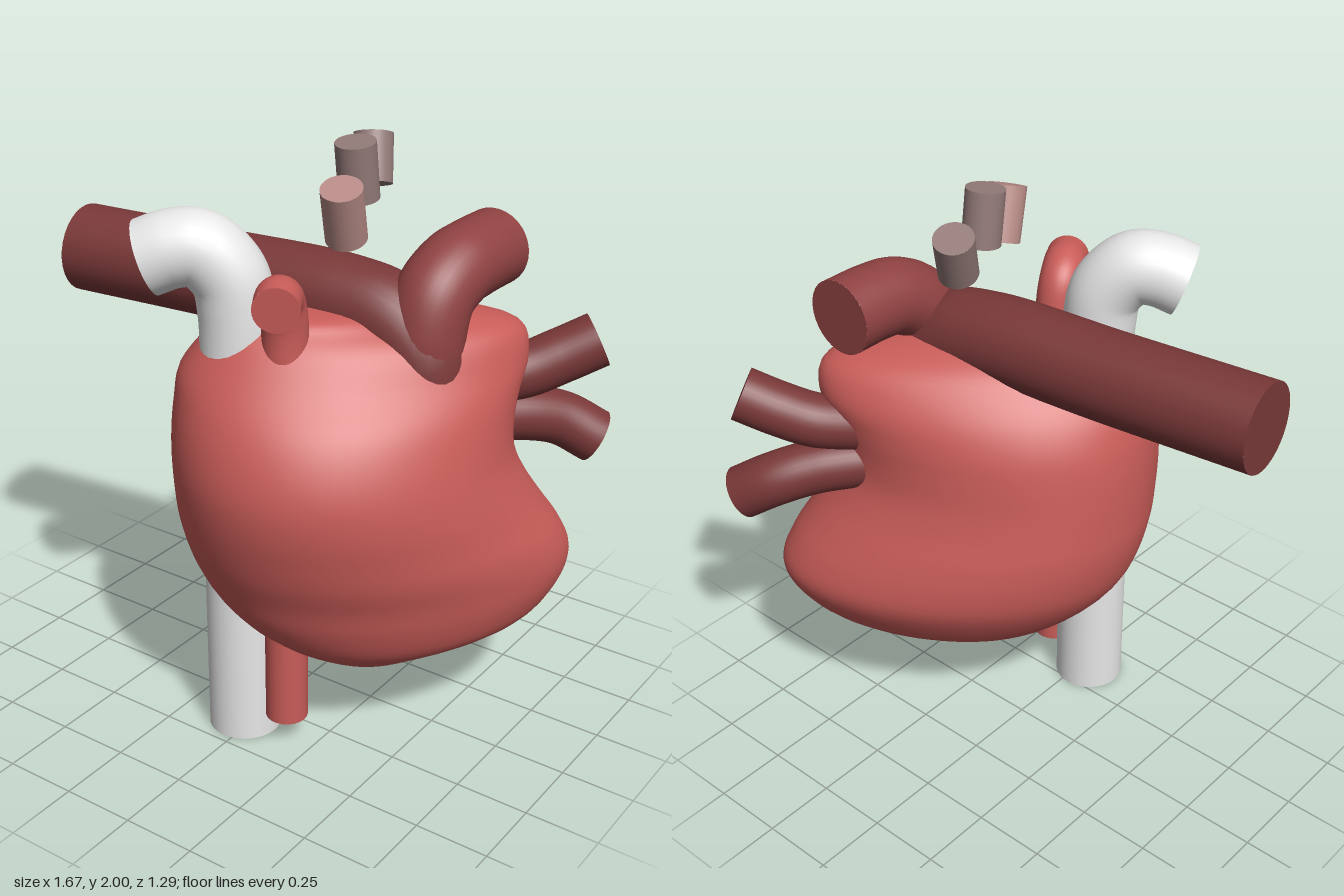
import * as THREE from 'three';
import { mergeGeometries } from 'three/addons/utils/BufferGeometryUtils.js';

const paint = (name, color) => {
  const m = new THREE.MeshStandardMaterial({ color });
  m.name = name;
  return m;
};

// Heart muscle: horizontal rings, long axis turned 45 degrees, slightly egg-shaped
function heartGeometry() {
  // y, centre x, centre z, long half-axis, short half-axis
  const rings = [
    [0.253, 0.29, 0.07, 0.001, 0.001], [0.275, 0.295, 0.06, 0.16, 0.14], [0.33, 0.305, 0.045, 0.31, 0.23],
    [0.40, 0.33, 0.005, 0.475, 0.31], [0.50, 0.316, -0.005, 0.575, 0.37], [0.60, 0.296, -0.005, 0.622, 0.41],
    [0.70, 0.273, 0.028, 0.62, 0.435], [0.80, 0.247, 0.068, 0.597, 0.443], [0.90, 0.23, 0.105, 0.57, 0.442],
    [1.00, 0.216, 0.127, 0.55, 0.433], [1.10, 0.21, 0.122, 0.546, 0.412], [1.20, 0.211, 0.1, 0.55, 0.375],
    [1.30, 0.218, 0.07, 0.555, 0.31], [1.40, 0.236, 0.06, 0.505, 0.235], [1.45, 0.20, 0.10, 0.40, 0.175],
    [1.485, 0.16, 0.16, 0.23, 0.11], [1.495, 0.15, 0.17, 0.001, 0.001],
  ];
  const spline = (f) => new THREE.CatmullRomCurve3(rings.map(f), false, 'catmullrom', 0.5);
  const size = spline((r) => new THREE.Vector3(r[0], r[3], r[4]));
  const centre = spline((r) => new THREE.Vector3(r[1], r[2], 0));
  const rows = 64, cols = 64, pos = [], index = [];
  for (let i = 0; i <= rows; i++) {
    const s = size.getPoint(i / rows), c = centre.getPoint(i / rows);
    for (let j = 0; j < cols; j++) {
      const t = (j / cols) * Math.PI * 2, cu = Math.cos(t);
      const u = s.y * cu;
      const v = s.z * (Math.sin(t) * (1 - 0.14 * cu) + 0.03 * cu);
      pos.push(c.x + (u + v) * Math.SQRT1_2, s.x, c.y + (v - u) * Math.SQRT1_2);
      if (i < rows) {
        const a = i * cols + j, b = i * cols + ((j + 1) % cols);
        index.push(a, a + cols, b, b, a + cols, b + cols);
      }
    }
  }
  const g = new THREE.BufferGeometry();
  g.setAttribute('position', new THREE.Float32BufferAttribute(pos, 3));
  g.setIndex(index);
  g.computeVertexNormals();
  return g;
}

// Round vessel along a path, closed by flat discs
function vesselGeometry(points, r) {
  const curve = new THREE.CatmullRomCurve3(points.map((p) => new THREE.Vector3(...p)));
  const parts = [new THREE.TubeGeometry(curve, points.length > 2 ? 48 : 1, r, 32)];
  for (const [t, sign] of [[0, -1], [1, 1]]) {
    const dir = curve.getTangent(t).multiplyScalar(sign);
    const turn = new THREE.Quaternion().setFromUnitVectors(new THREE.Vector3(0, 0, 1), dir);
    const p = curve.getPoint(t);
    parts.push(new THREE.CircleGeometry(r, 32).applyQuaternion(turn).translate(p.x, p.y, p.z));
  }
  return mergeGeometries(parts);
}

export function createModel() {
  const red = paint('heart red', 0xc85c58);
  const white = paint('vein white', 0xf0f0f0);
  const maroon = paint('artery maroon', 0x904242);
  const dark = paint('dark maroon', 0x7a3838);
  const taupe = paint('taupe', 0x937b79);
  const rose = paint('dusty rose', 0xb88c87);

  const model = new THREE.Group();
  model.name = 'heart';
  const add = (name, geometry, material) => {
    const mesh = new THREE.Mesh(geometry, material);
    mesh.name = name;
    model.add(mesh);
  };
  const vessel = (name, material, r, ...points) => add(name, vesselGeometry(points, r), material);

  add('heartMuscle', heartGeometry(), red);

  // White vein: straight below, hooked above
  vessel('lowerVein', white, 0.122, [-0.03, 0, 0.353], [-0.03, 0.7, 0.353]);
  vessel('upperVein', white, 0.121, [-0.03, 1.2, 0.355], [-0.03, 1.5, 0.355], [-0.05, 1.61, 0.367],
    [-0.12, 1.69, 0.41], [-0.19, 1.69, 0.455], [-0.26, 1.66, 0.498]);

  // Slim red artery beside it
  vessel('lowerArtery', red, 0.07, [0.147, 0.095, 0.355], [0.147, 0.6, 0.355]);
  vessel('upperArtery', red, 0.072, [0.15, 1.3, 0.355], [0.15, 1.5, 0.355], [0.157, 1.57, 0.38],
    [0.18, 1.597, 0.425], [0.222, 1.592, 0.495]);

  // Long side vessel that turns down into the muscle, and the arch bending to the back
  vessel('longVessel', dark, 0.147, [-0.82, 1.49, 0.157], [-0.3, 1.485, 0.1], [0.18, 1.478, 0.055],
    [0.33, 1.445, 0.04], [0.42, 1.36, 0.032], [0.44, 1.24, 0.03], [0.44, 1.1, 0.03]);
  vessel('arch', maroon, 0.126, [0.44, 1.32, 0.03], [0.445, 1.43, 0.028], [0.45, 1.535, -0.01],
    [0.46, 1.592, -0.1], [0.465, 1.605, -0.2], [0.467, 1.605, -0.338]);

  // Pair of back vessels, one curving up, one down
  vessel('upperBackVessel', dark, 0.092, [0.45, 1.18, -0.25], [0.58, 1.195, -0.37], [0.67, 1.24, -0.45],
    [0.765, 1.295, -0.525]);
  vessel('lowerBackVessel', dark, 0.092, [0.45, 1.04, -0.25], [0.57, 1.03, -0.4], [0.66, 0.995, -0.505],
    [0.76, 0.93, -0.57]);

  // Three loose stubs floating above
  vessel('backStub', taupe, 0.064, [0.13, 1.8, -0.145], [0.095, 1.945, -0.2]);
  vessel('middleStub', taupe, 0.064, [0.2, 1.81, 0.035], [0.2, 1.99, 0.06]);
  vessel('frontStub', rose, 0.064, [0.265, 1.74, 0.2], [0.288, 1.91, 0.262]);

  return model;
}
